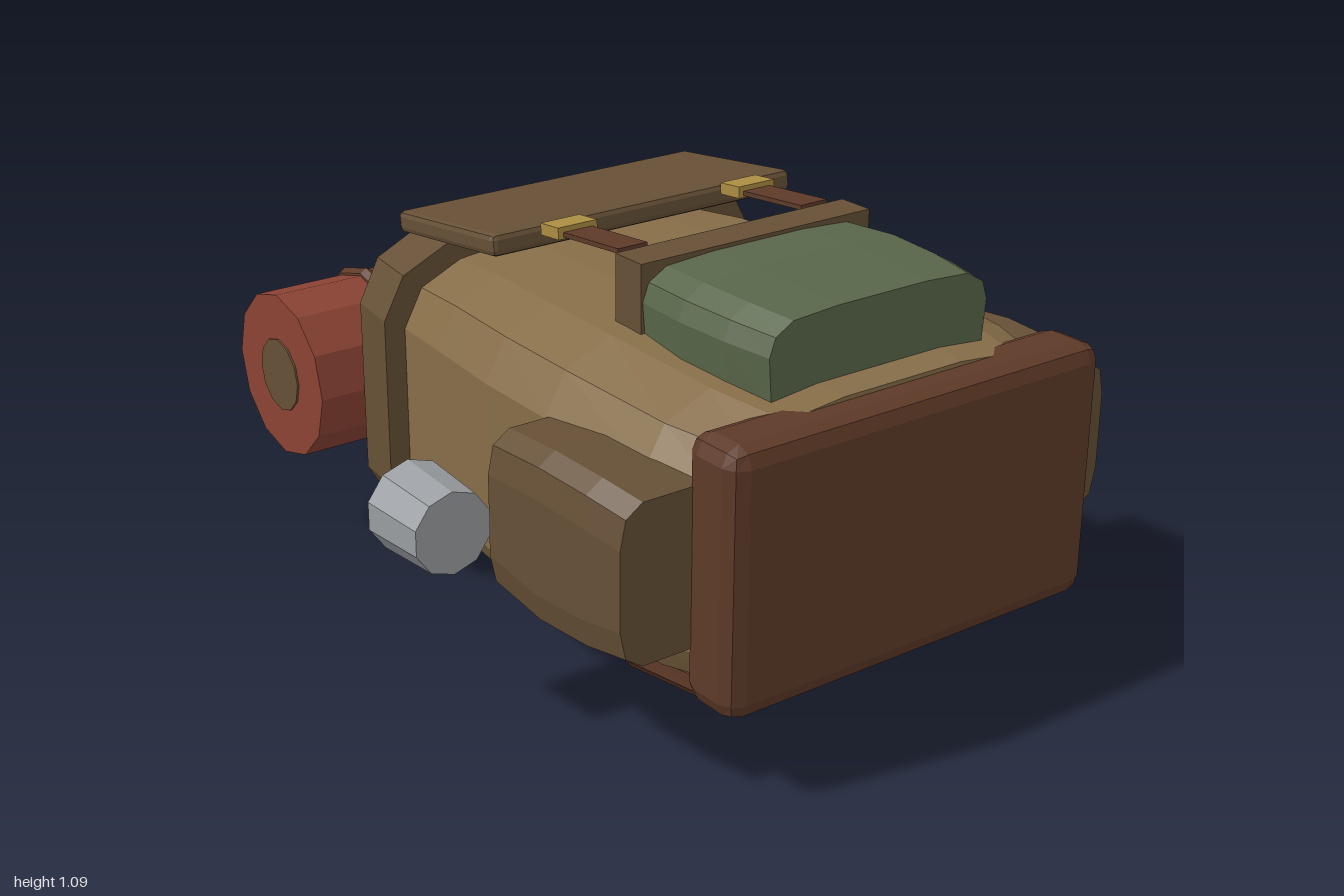
import * as THREE from 'three';
import { RoundedBoxGeometry } from 'three/addons/geometries/RoundedBoxGeometry.js';

const CX = 0.11; // symmetry plane of the pack
const mat = (color) => new THREE.MeshStandardMaterial({ color, flatShading: true, side: THREE.DoubleSide });

// Skin through equal-length rings (counter-clockwise seen from +z, running towards -z), capped at both ends
function loft(rings) {
  const pos = [];
  const n = rings[0].length;
  const tri = (...p) => p.forEach((v) => pos.push(...v));
  const centre = (r) => [0, 1, 2].map((k) => r.reduce((s, p) => s + p[k], 0) / n);
  const first = rings[0], last = rings[rings.length - 1];
  const c0 = centre(first), c1 = centre(last);
  for (let j = 0; j < n; j++) {
    const k = (j + 1) % n;
    for (let i = 0; i + 1 < rings.length; i++) {
      const a = rings[i][j], b = rings[i][k], c = rings[i + 1][k], d = rings[i + 1][j];
      tri(a, d, b);
      tri(b, d, c);
    }
    tri(c0, first[j], first[k]);
    tri(c1, last[k], last[j]);
  }
  const g = new THREE.BufferGeometry();
  g.setAttribute('position', new THREE.Float32BufferAttribute(pos, 3));
  g.computeVertexNormals();
  return g;
}

// Symmetric ring from a half section [u, v] listed bottom to top
function ring(half, z, w, y0, y1) {
  const right = half.map(([u, v]) => [CX + u * w, y0 + v * (y1 - y0), z]);
  const left = half.map(([u, v]) => [CX - u * w, y0 + v * (y1 - y0), z]).reverse();
  return [...right, ...left];
}

export function createModel() {
  const group = new THREE.Group();
  const tan = mat(0x866d48), olive = mat(0x665036), leather = mat(0x5e3a28);
  const green = mat(0x59664a), red = mat(0x8a4334), gold = mat(0xab8d42), steel = mat(0x9a9da1);
  const add = (name, geometry, material, x = 0, y = 0, z = 0) => {
    const m = new THREE.Mesh(geometry, material);
    m.name = name;
    m.position.set(x, y, z);
    group.add(m);
    return m;
  };

  // Main sack and the collar round its mouth
  const section = [[0.62, 0], [0.9, 0.06], [1, 0.18], [1, 0.76], [0.9, 0.9], [0.68, 0.975], [0.35, 1]];
  add('body', loft([
    [0.91, 0.5, 0.22, 0.895], [0.7, 0.565, 0.2, 0.915], [0.35, 0.588, 0.18, 0.935], [0.1, 0.588, 0.18, 0.94],
    [-0.15, 0.565, 0.19, 0.935], [-0.4, 0.53, 0.21, 0.91],
  ].map((r) => ring(section, ...r))), tan);
  add('collar', loft([[-0.355, 0.595, 0.175, 0.965], [-0.52, 0.57, 0.165, 0.965]]
    .map((r) => ring(section, ...r))), olive);

  // Leather base
  add('base', new RoundedBoxGeometry(1.105, 0.655, 0.175, 1, 0.045), leather, CX, 0.557, 0.9125);

  // Side pockets
  const pocketRing = (side, z, out, y0, y1) => {
    const p = [[0.4, y0], [out - 0.06, y0], [out - 0.015, y0 + 0.03], [out, y0 + 0.1],
      [out, y1 - 0.1], [out - 0.015, y1 - 0.03], [out - 0.06, y1], [0.4, y1]]
      .map(([x, y]) => [CX + side * x, y, z]);
    return side > 0 ? p : p.reverse();
  };
  for (const side of [1, -1]) {
    add(side > 0 ? 'leftPocket' : 'rightPocket', loft([
      [0.845, 0.735, 0.36, 0.755], [0.72, 0.75, 0.345, 0.77], [0.55, 0.757, 0.338, 0.775], [0.36, 0.752, 0.355, 0.76],
    ].map((r) => pocketRing(side, ...r))), olive);
  }

  // Front pocket with its stiff rim
  const puff = [[0.97, 0], [1, 0.6], [0.95, 0.82], [0.8, 0.96], [0.4, 1]];
  add('frontPocket', loft([[0.83, 0.325, 0.87, 1.075], [0.7, 0.348, 0.87, 1.083], [0.55, 0.358, 0.87, 1.087], [0.39, 0.342, 0.87, 1.08]]
    .map((r) => ring(puff, ...r))), green);
  add('pocketRim', new THREE.BoxGeometry(0.695, 0.185, 0.1), olive, CX, 0.9975, 0.345);

  // Lid flap, its straps and buckles
  add('lid', new RoundedBoxGeometry(0.93, 0.057, 0.45, 1, 0.015), olive, CX, 1.007, -0.267).rotation.x = -0.12;
  for (const s of [-1, 1]) {
    add('lidStrap', new THREE.BoxGeometry(0.085, 0.012, 0.34), leather, CX + s * 0.278, 1.066, 0.1).rotation.x = 0.09;
    add('buckle', new THREE.BoxGeometry(0.115, 0.03, 0.075), gold, CX + s * 0.278, 1.062, 0.008).rotation.x = 0.09;
  }
  // Lid strap slope: high at the lid, level with the pocket rim
  group.children.filter((m) => m.name === 'lidStrap' || m.name === 'buckle').forEach((m) => { m.rotation.x = -0.09; });

  // Shoulder straps under the pack: chamfered ribbon along [offset, y, z]
  const strapPath = [[0.41, 0.2, 0.84], [0.295, 0.038, 0.32], [0.275, 0.085, -0.22], [0.265, 0.23, -0.41]];
  const profile = [[-0.025, -0.035], [0.025, -0.035], [0.045, -0.01], [0.045, 0.03], [-0.045, 0.03], [-0.045, -0.01]];
  for (const s of [-1, 1]) {
    const rings = strapPath.map(([x, y, z], i) => {
      const a = strapPath[Math.max(i - 1, 0)], b = strapPath[Math.min(i + 1, 3)];
      const len = Math.hypot(b[1] - a[1], b[2] - a[2]);
      const ny = (a[2] - b[2]) / len, nz = (b[1] - a[1]) / len;
      return profile.map(([u, v]) => [CX + s * x + u, y + v * ny, z + v * nz]);
    });
    add('shoulderStrap', loft(rings), leather);
  }

  // Bedroll with end discs and two ties
  const roll = new THREE.Group();
  roll.name = 'bedroll';
  roll.position.set(CX, 0.525, -0.755);
  const rollPart = (name, geometry, material, x) => {
    const m = new THREE.Mesh(geometry, material);
    m.name = name;
    m.position.x = x;
    roll.add(m);
  };
  rollPart('roll', new THREE.CylinderGeometry(0.225, 0.225, 1.38, 12).rotateZ(Math.PI / 2), red, 0);
  for (const s of [-1, 1]) {
    rollPart('rollEnd', new THREE.CylinderGeometry(0.1, 0.1, 0.01, 12).rotateZ(Math.PI / 2), olive, s * 0.69);
    rollPart('rollTie', new THREE.TorusGeometry(0.22, 0.023, 6, 12).rotateY(Math.PI / 2), leather, s * 0.415);
  }
  group.add(roll);

  // Hanging mug, mouth towards the back, with a bent hook
  const cup = [[0, 0], [0.103, 0], [0.114, 0.19], [0.104, 0.19], [0.094, 0.012], [0, 0.012]];
  add('mug', new THREE.LatheGeometry(cup.map(([x, y]) => new THREE.Vector2(x, y)), 10).rotateX(-Math.PI / 2),
    steel, -0.757, 0.557, 0.39);
  const hook = [[-0.648, 0.215], [-0.685, 0.12], [-0.645, 0.075]];
  add('mugHook', loft(hook.map(([x, z]) => [[-1, -1], [1, -1], [1, 1], [-1, 1]]
    .map(([u, v]) => [x + u * 0.011, 0.557 + v * 0.015, z]))), steel);

  // Small metal tab on top of the sack
  const tab = (dy) => [[0.43, 0.937, 0.11], [0.48, 0.926, 0.125], [0.53, 0.916, -0.04], [0.45, 0.937, -0.05]]
    .map(([x, y, z]) => [x, y + dy, z]);
  add('metalTab', loft([tab(-0.012), tab(0.004)]), steel);

  return group;
}
